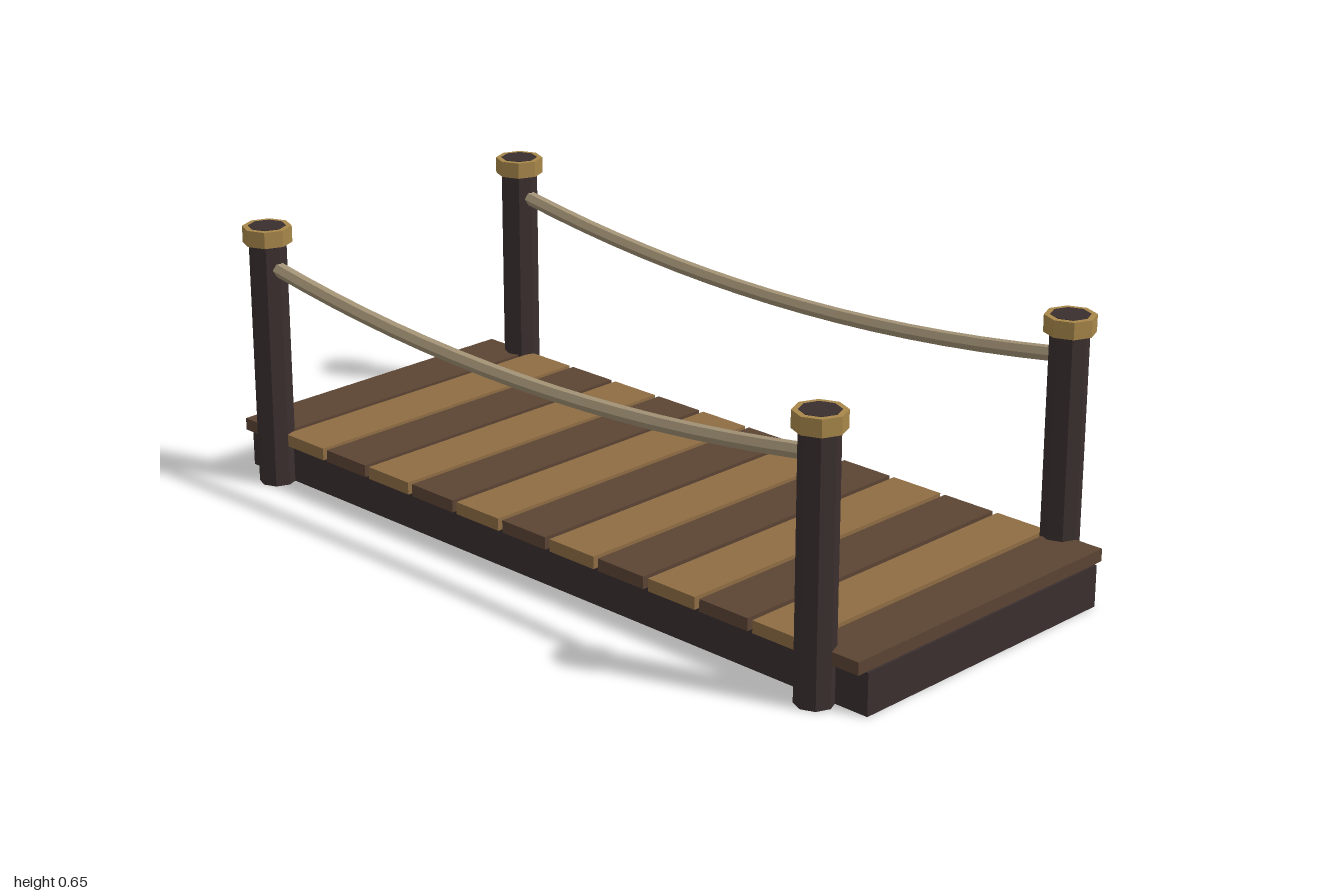
import * as THREE from 'three';

const mat = (name, color) => {
  const m = new THREE.MeshStandardMaterial({ color, flatShading: true });
  m.name = name;
  return m;
};

export function createModel() {
  const darkWood = mat('dark wood', 0x3b2f2f);
  const brownWood = mat('brown wood', 0x5c4433);
  const tanWood = mat('tan wood', 0x8f6d43);
  const brass = mat('brass', 0xa8874a);
  const ropeFibre = mat('rope fibre', 0xa39376);

  const model = new THREE.Group();
  model.name = 'bridge';
  const add = (name, geometry, material, x, y, z) => {
    const mesh = new THREE.Mesh(geometry, material);
    mesh.name = name;
    mesh.position.set(x, y, z);
    model.add(mesh);
  };

  // Solid base under the deck
  add('base', new THREE.BoxGeometry(0.77, 0.1, 2), darkWood, 0, 0.05, 0);

  // Thirteen planks in alternating colours, with narrow gaps
  const plank = new THREE.BoxGeometry(0.82, 0.03, 0.14);
  for (let i = -6; i <= 6; i++) {
    add('plank', plank, i % 2 === 0 ? brownWood : tanWood, 0, 0.115, i * 0.154);
  }

  // Octagonal corner posts showing through their collars
  const post = new THREE.CylinderGeometry(0.045, 0.045, 0.651, 8);
  const collar = new THREE.CylinderGeometry(0.059, 0.059, 0.04, 8);
  for (const x of [-0.41, 0.41]) {
    for (const z of [-0.877, 0.877]) {
      add('post', post, darkWood, x, 0.3255, z);
      add('postCollar', collar, brass, x, 0.63, z);
    }
  }

  // Sagging rope handrails
  const points = [];
  for (let i = -6; i <= 6; i++) {
    const t = i / 6;
    points.push(new THREE.Vector3(0, 0.481 + 0.069 * t * t, 0.842 * t));
  }
  const rope = new THREE.TubeGeometry(new THREE.CatmullRomCurve3(points), 16, 0.018, 6);
  for (const x of [-0.41, 0.41]) add('ropeRail', rope, ropeFibre, x, 0, 0);

  return model;
}
